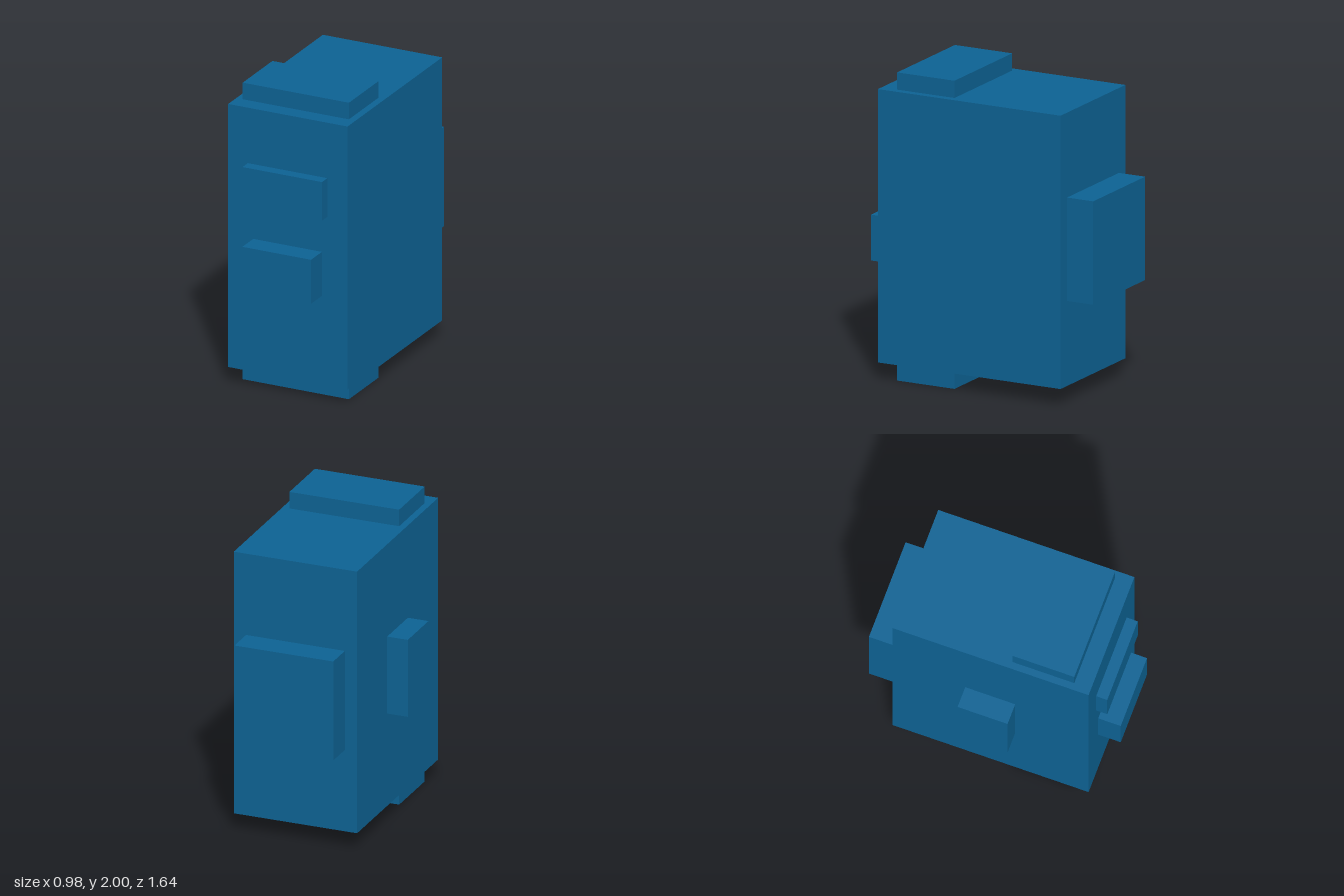
import * as THREE from 'three';

export function createModel() {
  const model = new THREE.Group();
  model.name = 'blockCabinet';
  const blue = new THREE.MeshStandardMaterial({ color: 0x0d6293 });
  blue.name = 'deep blue';

  // Box given by its extents along each axis
  function block(name, [x0, x1], [y0, y1], [z0, z1]) {
    const mesh = new THREE.Mesh(new THREE.BoxGeometry(x1 - x0, y1 - y0, z1 - z0), blue);
    mesh.position.set((x0 + x1) / 2, (y0 + y1) / 2, (z0 + z1) / 2);
    mesh.name = name;
    model.add(mesh);
  }

  // Main body
  block('body', [-0.35, 0.488], [0.114, 1.888], [-0.635, 0.672]);

  // Matching plates on the top and bottom
  block('topPlate', [-0.305, 0.441], [1.888, 2], [0.15, 0.56]);
  block('bottomPlate', [-0.305, 0.441], [0, 0.114], [0.15, 0.56]);

  // Two raised blocks on the front
  block('upperFrontBlock', [-0.212, 0.346], [1.253, 1.514], [0.672, 0.746]);
  block('lowerFrontBlock', [-0.174, 0.308], [0.713, 1.01], [0.672, 0.822]);

  // Rear and side blocks
  block('rearBlock', [-0.267, 0.404], [0.666, 1.337], [-0.822, -0.635]);
  block('rightSideBlock', [-0.49, -0.35], [0.74, 1.262], [-0.15, 0.183]);

  return model;
}
